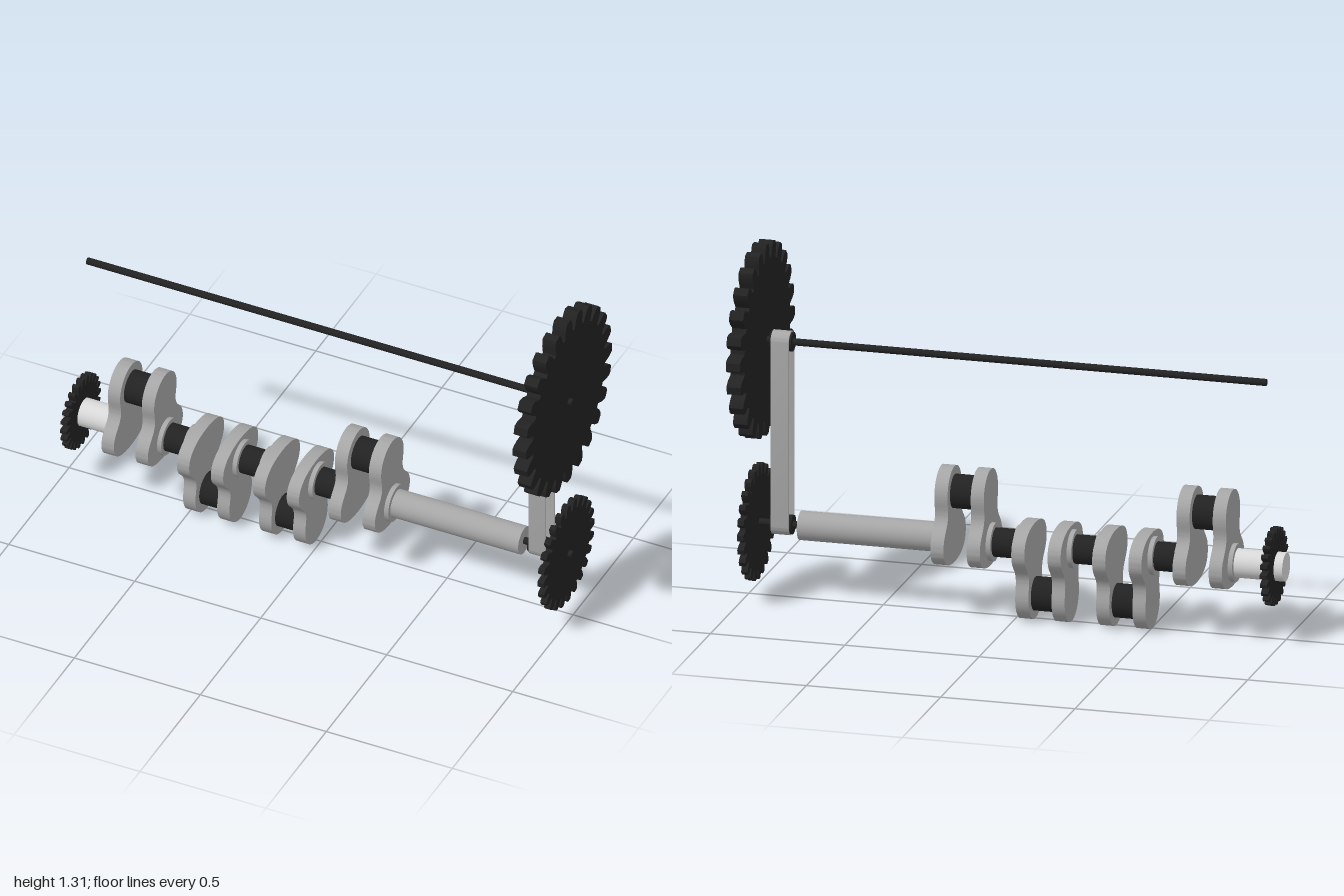
import * as THREE from 'three';
import { toCreasedNormals } from 'three/addons/utils/BufferGeometryUtils.js';

const steel = new THREE.MeshStandardMaterial({ name: 'steel grey', color: 0xa6a6a6 });
const bright = new THREE.MeshStandardMaterial({ name: 'bright steel', color: 0xd8d8d8 });
const dark = new THREE.MeshStandardMaterial({ name: 'dark metal', color: 0x222222 });

const MAIN_Y = 0.276, ROD_Y = 0.962, THROW = 0.179;

export function createModel() {
  const model = new THREE.Group();
  model.name = 'crankshaftAssembly';

  function add(name, geometry, material, y = 0) {
    const mesh = new THREE.Mesh(geometry, material);
    mesh.name = name;
    mesh.position.y = y;
    model.add(mesh);
    return mesh;
  }

  // Round bar along x from x0 to x1
  function bar(name, x0, x1, radius, y, material) {
    const g = new THREE.CylinderGeometry(radius, radius, x1 - x0, 40);
    g.rotateZ(Math.PI / 2);
    g.translate((x0 + x1) / 2, 0, 0);
    return add(name, g, material, y);
  }

  // Shape drawn in the zy plane, extruded along x from x0 to x1
  function plate(name, shape, x0, x1, y, material) {
    let g = new THREE.ExtrudeGeometry(shape, { depth: x1 - x0, bevelEnabled: false, curveSegments: 20 });
    g.rotateY(Math.PI / 2);
    g.translate(x0, 0, 0);
    g = toCreasedNormals(g, 0.5);
    return add(name, g, material, y);
  }

  // Gear outline: 24 rounded, tapering teeth
  function gearShape(root, tip) {
    const teeth = 24, pitch = (Math.PI * 2) / teeth, points = [];
    // each pair: fraction of half pitch, fraction of tooth height
    const flank = [[0.8, 0], [0.72, 0.2], [0.65, 0.5], [0.5, 0.8], [0.32, 1]];
    const tooth = [...flank.map(([a, h]) => [-a, h]), ...flank.slice().reverse()];
    for (let i = 0; i < teeth; i++) {
      for (const [a, h] of tooth) {
        const t = (i + a / 2) * pitch, r = root + (tip - root) * h;
        points.push(new THREE.Vector2(r * Math.cos(t), r * Math.sin(t)));
      }
    }
    return new THREE.Shape(points);
  }

  // Crank web: broad counterweight with a waist and a round pin lobe
  function webShape() {
    const s = new THREE.Shape();
    s.moveTo(0, -0.087);
    s.bezierCurveTo(0.085, -0.087, 0.145, -0.06, 0.145, -0.005);
    s.bezierCurveTo(0.145, 0.06, 0.083, 0.06, 0.085, 0.12);
    s.bezierCurveTo(0.086, 0.14, 0.093, 0.155, 0.093, THROW);
    s.absarc(0, THROW, 0.093, 0, Math.PI, false);
    s.bezierCurveTo(-0.093, 0.155, -0.086, 0.14, -0.085, 0.12);
    s.bezierCurveTo(-0.083, 0.06, -0.145, 0.06, -0.145, -0.005);
    s.bezierCurveTo(-0.145, -0.06, -0.085, -0.087, 0, -0.087);
    return s;
  }

  // Crank throws: two webs, a pin and outer collars each
  const web = webShape(), half = 0.0245, offset = 0.0675;
  const centres = [-0.71, -0.411, -0.11, 0.191];
  const directions = [1, -1, -1, 1];
  centres.forEach((c, i) => {
    const dir = directions[i];
    for (const side of [-1, 1]) {
      const x = c + side * offset;
      const mesh = plate('crankWeb', web, x - half, x + half, MAIN_Y, steel);
      if (dir < 0) mesh.rotation.x = Math.PI;
      const edge = x + side * half, outer = edge + side * 0.017;
      bar('journalCollar', Math.min(edge, outer), Math.max(edge, outer), 0.07, MAIN_Y, steel);
    }
    bar('crankPin', c - offset + half, c + offset - half, 0.062, MAIN_Y + dir * THROW, dark);
    // Main journal to the next throw
    if (i < 3) bar('mainJournal', c + offset + half, centres[i + 1] - offset - half, 0.053, MAIN_Y, dark);
  });

  // Shaft ends
  bar('shaftNose', -1, -0.8, 0.053, MAIN_Y, bright);
  bar('mainShaft', 0.28, 0.807, 0.053, MAIN_Y, steel);
  bar('driveStub', 0.8, 1, 0.013, MAIN_Y, dark);
  bar('upperRod', -0.927, 1, 0.013, ROD_Y, dark);

  // Gears
  plate('noseGear', gearShape(0.113, 0.143), -0.968, -0.942, MAIN_Y, dark);
  plate('lowerGear', gearShape(0.176, 0.213), 0.96, 0.984, MAIN_Y, dark);
  plate('upperGear', gearShape(0.298, 0.357), 0.931, 0.984, ROD_Y, dark);

  // Pulleys and the thin belt loop around them
  for (const y of [MAIN_Y, ROD_Y]) bar('pulley', 0.834, 0.916, 0.035, y, dark);
  function loop(path, r) {
    path.absarc(0, ROD_Y, r, 0, Math.PI, false);
    path.absarc(0, MAIN_Y, r, Math.PI, Math.PI * 2, false);
    path.closePath();
    return path;
  }
  const belt = loop(new THREE.Shape(), 0.039);
  belt.holes.push(loop(new THREE.Path(), 0.0355));
  plate('belt', belt, 0.841, 0.909, 0, steel);

  return model;
}
